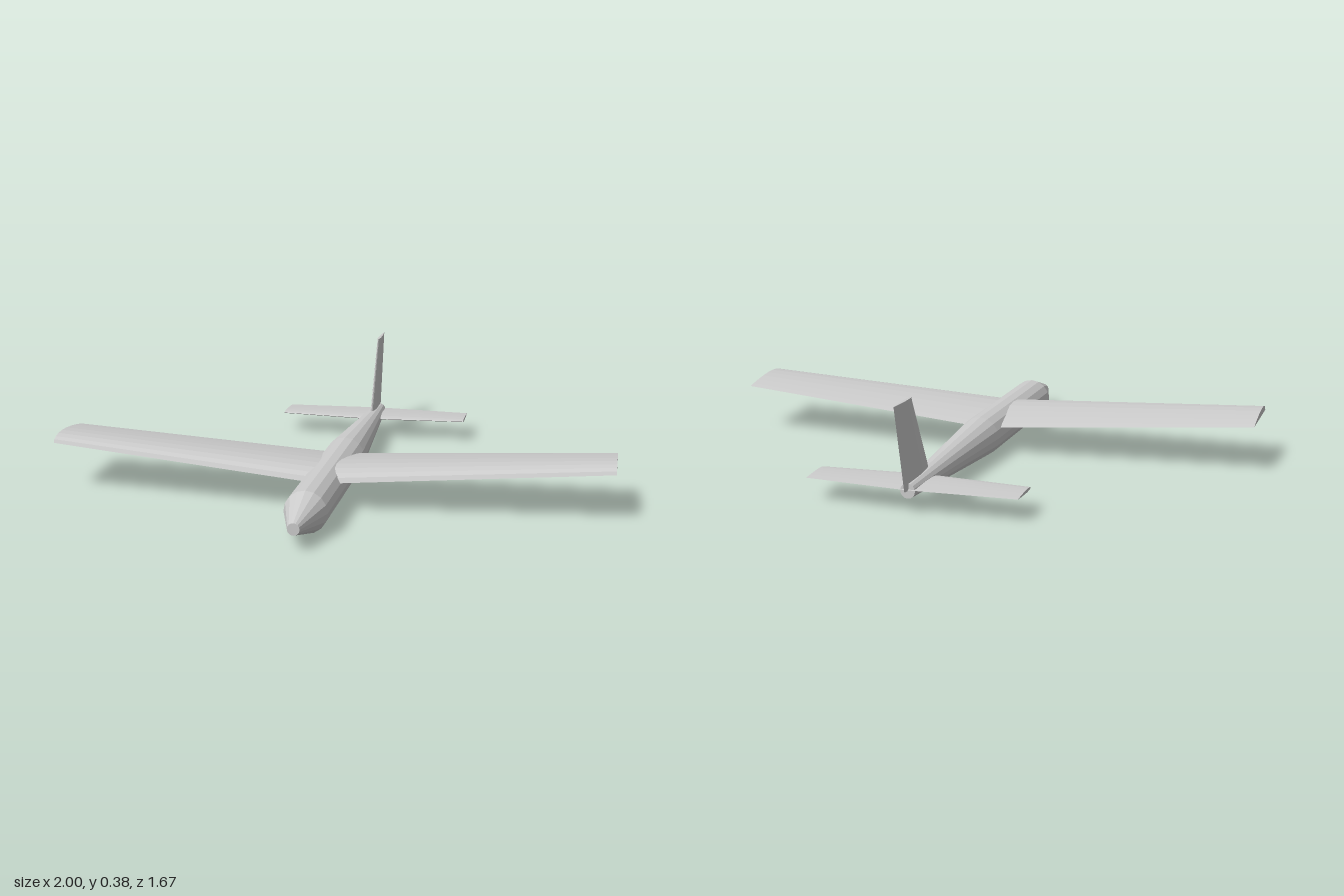
import * as THREE from 'three';

const material = new THREE.MeshStandardMaterial({ color: 0xcccccc, flatShading: true });

// Aerofoil upper side: [fraction of chord, fraction of full thickness]
const FOIL = [[0, 0], [0.025, 0.44], [0.08, 0.72], [0.17, 0.93], [0.3, 1], [0.45, 0.93],
  [0.6, 0.76], [0.75, 0.53], [0.9, 0.24], [1, 0]];

// One closed section: leading edge at (x, y, z), chord running towards -z.
// A flat-bottomed section has all its thickness on the side of "up".
function section(x, y, z, chord, thick, up, flat) {
  const side = (list, k) => list.map(([u, t]) =>
    new THREE.Vector3(x, y, z - u * chord).addScaledVector(up, k * t * thick));
  if (flat) return side(FOIL, 1);
  return [...side(FOIL, 0.5), ...side(FOIL.slice(1, -1).reverse(), -0.5)];
}

// Skin between successive sections, with both ends capped
function loft(sections) {
  const points = [];
  const n = sections[0].length;
  for (let s = 0; s < sections.length - 1; s++) {
    const a = sections[s], b = sections[s + 1];
    for (let i = 0; i < n; i++) {
      const j = (i + 1) % n;
      points.push(a[i], b[i], a[j], b[i], b[j], a[j]);
    }
  }
  const first = sections[0], last = sections[sections.length - 1];
  for (let i = 1; i < n - 1; i++) {
    points.push(first[0], first[i], first[i + 1], last[0], last[i + 1], last[i]);
  }
  const geometry = new THREE.BufferGeometry().setFromPoints(points);
  geometry.computeVertexNormals();
  return geometry;
}

export function createModel() {
  const model = new THREE.Group();
  model.name = 'glider';
  const add = (name, geometry) => {
    const mesh = new THREE.Mesh(geometry, material);
    mesh.name = name;
    model.add(mesh);
  };

  // Fuselage: sixteen-sided body with tapered nose and tail boom
  const profile = [[0, -0.725], [0.026, -0.725], [0.075, 0], [0.075, 0.66], [0.021, 0.835], [0, 0.835]];
  const body = new THREE.LatheGeometry(profile.map(([r, z]) => new THREE.Vector2(r, z)), 16);
  body.rotateX(Math.PI / 2).translate(0, 0.075, 0);
  add('fuselage', body);

  // Wing: flat-bottomed, tapered, with dihedral
  const up = new THREE.Vector3(0, 1, 0);
  const wingTip = (x) => section(x, 0.174, 0.364, 0.274, 0.027, up, true);
  add('wing', loft([wingTip(-1), section(0, 0.101, 0.427, 0.388, 0.039, up, true), wingTip(1)]));

  // Tailplane
  const tailTip = (x) => section(x, 0.08, -0.57, 0.14, 0.011, up, false);
  add('tailplane', loft([tailTip(-0.373), section(0, 0.08, -0.543, 0.19, 0.015, up, false), tailTip(0.373)]));

  // Swept fin
  const across = new THREE.Vector3(-1, 0, 0);
  add('fin', loft([
    section(0, 0.077, -0.523, 0.23, 0.019, across, false),
    section(0, 0.383, -0.686, 0.148, 0.012, across, false),
  ]));

  return model;
}
